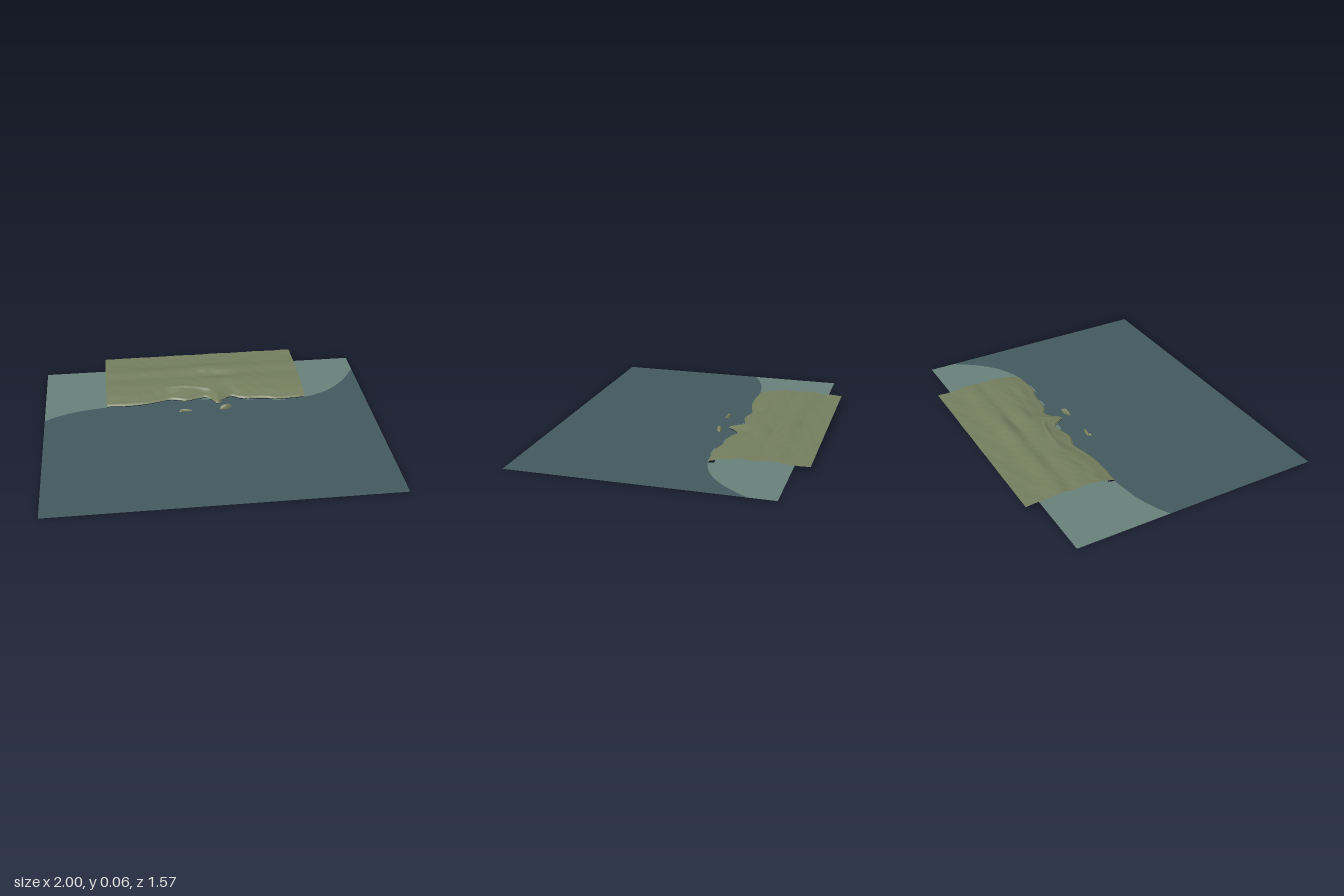
import * as THREE from 'three';

const mat = (name, color) => {
  const m = new THREE.MeshStandardMaterial({ color, side: THREE.DoubleSide });
  m.name = name;
  return m;
};

// Shoreline as (x, z) points from the right border to the left border
const SHORE = [
  [-1, -0.14], [-0.95, -0.168], [-0.9, -0.19], [-0.8, -0.223], [-0.7, -0.24], [-0.62, -0.25],
  [-0.5, -0.245], [-0.4, -0.25], [-0.3, -0.27], [-0.22, -0.287], [-0.13, -0.265], [-0.05, -0.283],
  [0, -0.29], [0.03, -0.265], [0.05, -0.23], [0.07, -0.213], [0.1, -0.25], [0.13, -0.275],
  [0.17, -0.285], [0.2, -0.265], [0.25, -0.25], [0.3, -0.25], [0.38, -0.24], [0.43, -0.225],
  [0.5, -0.225], [0.62, -0.235], [0.7, -0.258], [0.8, -0.31], [0.9, -0.4], [0.95, -0.465], [1, -0.54],
];
// Side profile of the inland height as (z, y) points
const PROFILE = [
  [-0.79, 0.038], [-0.7, 0.039], [-0.65, 0.041], [-0.6, 0.048], [-0.56, 0.049], [-0.51, 0.041],
  [-0.46, 0.044], [-0.41, 0.044], [-0.35, 0.036], [-0.28, 0.034], [-0.2, 0.033],
];
// Smooth curve through points sorted by their first value
const sample = (pts, x) => {
  let i = 0;
  while (i < pts.length - 2 && x > pts[i + 1][0]) i++;
  const [x0, y0] = pts[i], [x1, y1] = pts[i + 1];
  const p = pts[Math.max(i - 1, 0)], n = pts[Math.min(i + 2, pts.length - 1)];
  const t = THREE.MathUtils.clamp((x - x0) / (x1 - x0), 0, 1), w = x1 - x0;
  const m0 = w * (y1 - p[1]) / (x1 - p[0]), m1 = w * (n[1] - y0) / (n[0] - x0);
  const t2 = t * t, t3 = t2 * t;
  return y0 * (2 * t3 - 3 * t2 + 1) + m0 * (t3 - 2 * t2 + t) + y1 * (3 * t2 - 2 * t3) + m1 * (t3 - t2);
};
const shore = (x) => sample(SHORE, x);
const bump = (x, z, cx, cz, rx, rz) => Math.exp(-(((x - cx) / rx) ** 2) - ((z - cz) / rz) ** 2);
const ripple = (x, z) =>
  Math.sin(x * 23 + z * 31 + 2 * Math.sin(z * 17)) * 0.4 +
  Math.sin(x * 47 - z * 58 + 2 * Math.sin(x * 19)) * 0.3 +
  Math.sin(x * 71 + z * 97 + 1.5 * Math.sin(x * 37 - z * 29)) * 0.2;

// Ground height behind the shore
const height = (x, z) => {
  const d = shore(x) - z;
  const rise = 0.35 * THREE.MathUtils.smoothstep(d, 0, 0.014) + 0.65 * THREE.MathUtils.smoothstep(d, 0.005, 0.1);
  let h = sample(PROFILE, z);
  h += 0.013 * bump(x, z, 0.07, -0.58, 0.13, 0.045) + 0.004 * bump(x, z, -0.3, -0.57, 0.2, 0.04);
  h += 0.008 * bump(x, z, 0.14, -0.43, 0.12, 0.04) - 0.006 * bump(x, z, 0.1, -0.51, 0.1, 0.025);
  // curved bank running down to the headland
  const bank = -0.385 + 0.9 * Math.max(0, x + 0.17) ** 2;
  if (x > -0.25 && x < 0.08) {
    h += 0.008 * Math.exp(-(((z - bank) / 0.011) ** 2)) * Math.sin(Math.PI * (x + 0.25) / 0.33);
  }
  h += 0.0022 * ripple(x, z);
  return 0.007 + (h - 0.007) * rise;
};

// Horizontal plate from (x, z) outline points
const plate = (pts, y) => {
  const shape = new THREE.Shape(pts.map(([x, z]) => new THREE.Vector2(x, -z)));
  return new THREE.ShapeGeometry(shape).rotateX(-Math.PI / 2).translate(0, y, 0);
};

export function createModel() {
  const group = new THREE.Group();
  const deep = mat('deep water', 0x42595d);
  const shallow = mat('shallow water', 0x687f79);
  const ground = mat('grassy ground', 0x737d5d);
  const add = (name, geo, m) => {
    const mesh = new THREE.Mesh(geo, m);
    mesh.name = name;
    group.add(mesh);
    return mesh;
  };

  // Deep and shallow water meet along the shoreline, with a gap under the land's front bank
  const N = 200, X = Array.from({ length: N + 1 }, (_, i) => -1 + 2 * i / N);
  const inLand = (x) => Math.abs(x) < 0.615;
  add('deepWater', plate([[1, 0.78], [-1, 0.78], ...X.map((x) => [x, shore(x) - (inLand(x) ? 0.003 : 0)])], 0.002), deep);
  add('shallowWater', plate([[1, -0.69], [-1, -0.69], ...X.map((x) => [x, shore(x) - (inLand(x) ? 0.035 : 0)])], 0.002), shallow);

  // Small shallow pools in the coves
  for (const [cx, cz, rx, rz] of [[-0.005, -0.279, 0.03, 0.01], [0.28, -0.245, 0.04, 0.006], [0.46, -0.219, 0.05, 0.005]]) {
    const ring = Array.from({ length: 20 }, (_, i) => [cx + rx * Math.cos(i * Math.PI / 10), cz + rz * Math.sin(i * Math.PI / 10)]);
    add('shallowCove', plate(ring, 0.004), shallow);
  }

  // Land sheet, rows packed more tightly near the shore
  const land = new THREE.PlaneGeometry(1, 1, 180, 100).rotateX(-Math.PI / 2);
  const p = land.attributes.position;
  for (let i = 0; i < p.count; i++) {
    const x = p.getX(i) * 1.244, v = (0.5 - p.getZ(i)) ** 1.4;
    const z = THREE.MathUtils.lerp(shore(x), -0.787, v);
    p.setXYZ(i, x, height(x, z), z);
  }
  land.computeVertexNormals();
  add('land', land, ground);

  // Rocky islets: x, z, half length, half width, height, turn
  const islets = [
    [0.112, -0.166, 0.04, 0.015, 0.027, 0.25], [0.085, -0.158, 0.014, 0.009, 0.013, 0],
    [-0.135, -0.16, 0.032, 0.009, 0.014, -0.15], [-0.165, -0.153, 0.016, 0.006, 0.01, 0.3],
    [-0.16, -0.166, 0.014, 0.005, 0.011, 0], [-0.11, -0.156, 0.012, 0.006, 0.01, -0.3],
  ];
  for (const [x, z, rx, rz, h, turn] of islets) {
    const geo = new THREE.SphereGeometry(1, 20, 14);
    const q = geo.attributes.position;
    for (let i = 0; i < q.count; i++) {
      const a = q.getX(i), b = q.getY(i), c = q.getZ(i);
      const k = 1 + 0.1 * Math.sin(a * 5 + x * 40) * Math.cos(c * 4 + b * 3);
      q.setXYZ(i, a * k * rx, Math.max(b, 0) * k * h, c * k * rz);
    }
    geo.computeVertexNormals();
    const islet = add('islet', geo, ground);
    islet.position.set(x, 0, z);
    islet.rotation.y = turn;
  }
  return group;
}
